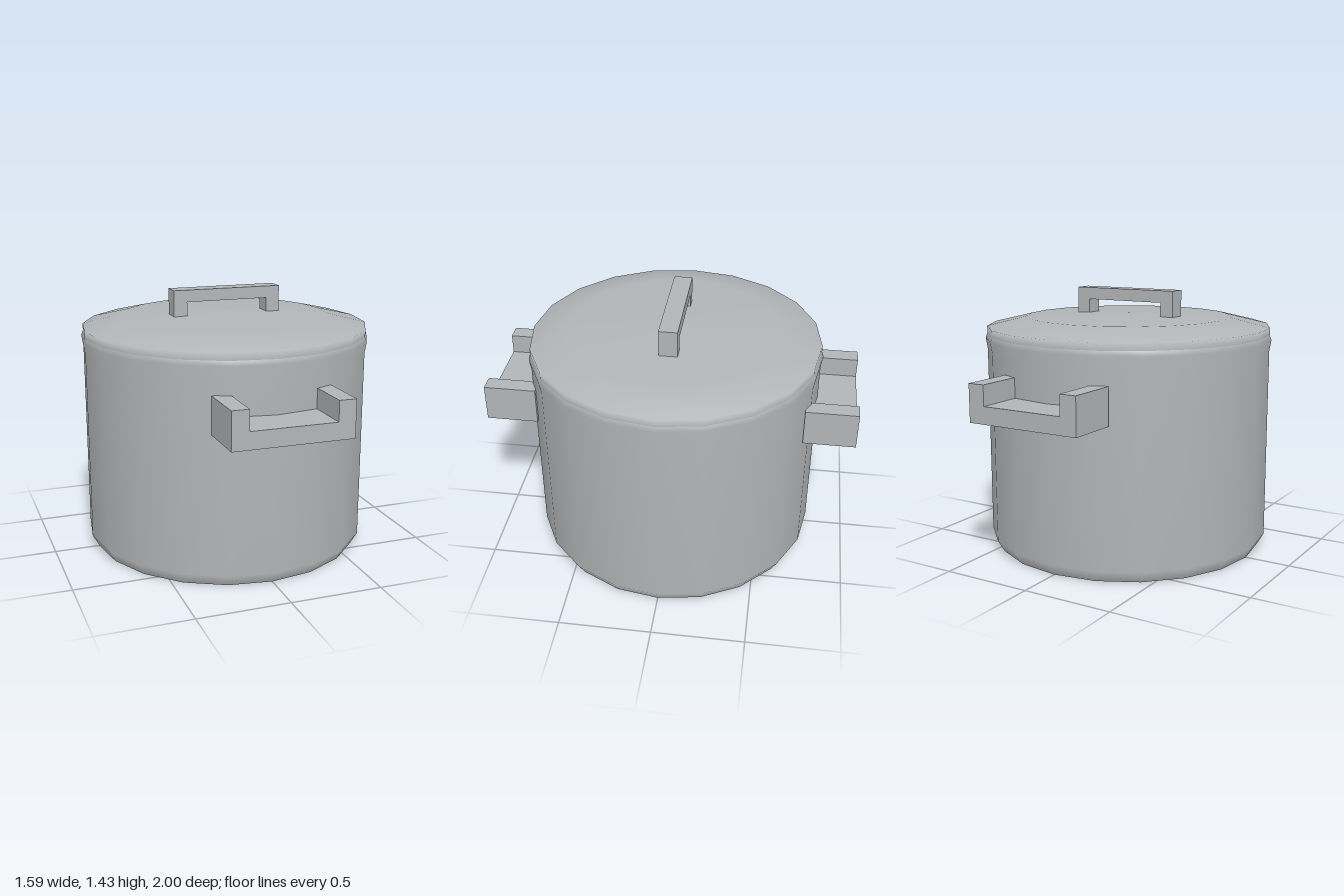
import * as THREE from 'three';

const SIDES = 20;

// Turned surface around the y axis from [radius, height] points
function lathe(points, material, name) {
  const geometry = new THREE.LatheGeometry(points.map(([r, y]) => new THREE.Vector2(r, y)), SIDES);
  const mesh = new THREE.Mesh(geometry, material);
  mesh.name = name;
  return mesh;
}

// U-shaped grip, open upwards, extruded along z and centred on z = 0
function grip(halfWidth, halfGap, height, base, depth, material, name) {
  const shape = new THREE.Shape([
    [-halfWidth, 0], [halfWidth, 0], [halfWidth, height], [halfGap, height],
    [halfGap, base], [-halfGap, base], [-halfGap, height], [-halfWidth, height],
  ].map(([x, y]) => new THREE.Vector2(x, y)));
  const geometry = new THREE.ExtrudeGeometry(shape, { depth, bevelEnabled: false });
  geometry.translate(0, 0, -depth / 2);
  const mesh = new THREE.Mesh(geometry, material);
  mesh.name = name;
  return mesh;
}

export function createModel() {
  const model = new THREE.Group();
  model.name = 'cookingPot';
  const steel = new THREE.MeshStandardMaterial({ color: 0xb2b5b7 });
  steel.name = 'brushed steel';

  // Pot wall with a chamfered foot and flared rim, and its flat base
  model.add(lathe([[0.75, 0], [0.787, 0.065], [0.787, 1.11], [0.797, 1.17], [0.787, 1.195]], steel, 'potBody'));
  const base = new THREE.Mesh(new THREE.CircleGeometry(0.75, SIDES), steel);
  base.name = 'potBase';
  base.rotation.set(Math.PI / 2, 0, 0);
  model.add(base);

  // Shallow domed lid
  model.add(lathe([[0.787, 1.19], [0.787, 1.235], [0.57, 1.287], [0, 1.3]], steel, 'lid'));

  // Lid grip, turned over so that it opens downwards
  const lidHandle = grip(0.305, 0.23, 0.155, 0.065, 0.1, steel, 'lidHandle');
  lidHandle.rotation.z = Math.PI;
  lidHandle.position.y = 1.435;
  model.add(lidHandle);

  // Front and back carrying handles
  for (const [side, name] of [[1, 'frontHandle'], [-1, 'backHandle']]) {
    const handle = grip(0.32, 0.228, 0.2, 0.092, 0.28, steel, name);
    handle.position.set(0, 0.822, side * 0.86);
    model.add(handle);
  }
  return model;
}
